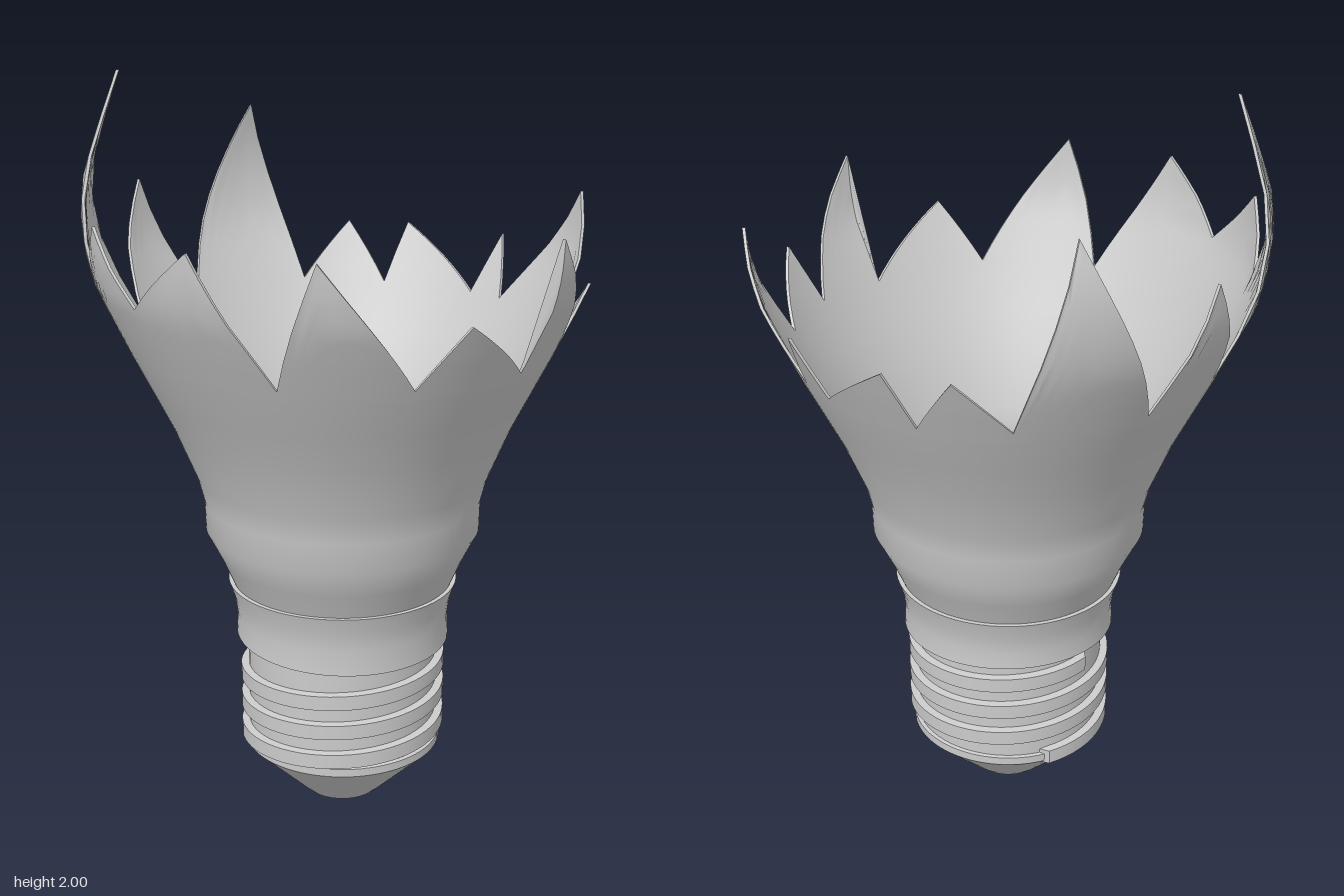
import * as THREE from 'three';
import { toCreasedNormals } from 'three/addons/utils/BufferGeometryUtils.js';

const material = new THREE.MeshStandardMaterial({ color: 0xcccccc, side: THREE.DoubleSide });

// Glass profile: [height, radius]
const PROFILE = [
  [0.65, 0.295], [0.72, 0.325], [0.8, 0.365], [0.88, 0.367], [0.95, 0.385], [1.1, 0.447],
  [1.2, 0.497], [1.3, 0.547], [1.4, 0.594], [1.49, 0.634], [1.57, 0.652], [1.66, 0.658],
  [1.75, 0.648], [1.83, 0.622], [2.0, 0.56],
];

// Broken rim: [degrees from the front towards +x, height]
const RIM = [
  [0, 1.49], [22.5, 1.32], [22.6, 1.34], [24, 1.66], [45, 1.33], [49.5, 1.49], [67, 1.33],
  [78, 1.66], [100.4, 1.33], [106.6, 1.49], [111.5, 1.33], [134.4, 1.49], [139.4, 1.33],
  [150, 1.49], [163, 1.34], [176.3, 1.83], [198, 1.33], [209.5, 1.66], [225.4, 1.33],
  [243, 2.0], [255.3, 1.49], [265.6, 1.66], [281, 1.49], [299, 1.66], [316, 1.33],
  [326.7, 1.66], [349.3, 1.33], [360, 1.49],
];

function glassRadius(y) {
  let i = 1;
  while (i < PROFILE.length - 1 && PROFILE[i][0] < y) i++;
  const [y0, r0] = PROFILE[i - 1];
  const [y1, r1] = PROFILE[i];
  return r0 + (r1 - r0) * (y - y0) / (y1 - y0);
}

function addMesh(group, name, geometry, crease = 0.6) {
  const mesh = new THREE.Mesh(toCreasedNormals(geometry, crease), material);
  mesh.name = name;
  group.add(mesh);
}

// Skin over columns of cross-section points, given as [angle, radius, height]
function skin(columns) {
  const rows = columns[0].length;
  const positions = [];
  const index = [];
  columns.forEach((column, i) => {
    column.forEach(([a, r, y], j) => {
      positions.push(r * Math.sin(a), y, r * Math.cos(a));
      if (i < columns.length - 1 && j < rows - 1) {
        const p = i * rows + j;
        const q = p + rows;
        index.push(p, q, q + 1, p, q + 1, p + 1);
      }
    });
  });
  const geometry = new THREE.BufferGeometry();
  geometry.setAttribute('position', new THREE.Float32BufferAttribute(positions, 3));
  geometry.setIndex(index);
  return geometry;
}

function lathe(points) {
  return new THREE.LatheGeometry(points.map(([r, y]) => new THREE.Vector2(r, y)), 64);
}

// Thin shell: up the outside to the jagged rim, then down the inside
function brokenGlass() {
  const thickness = 0.008;
  const columns = [];
  const addColumn = (degrees, top) => {
    const a = THREE.MathUtils.degToRad(degrees);
    const heights = PROFILE.map((p) => p[0]).filter((y) => y <= 1.3);
    for (let k = 1; k <= 10; k++) heights.push(1.3 + (top - 1.3) * k / 10);
    const outer = heights.map((y) => [a, glassRadius(y), y]);
    const inner = heights.map((y) => [a, glassRadius(y) - thickness, y]).reverse();
    columns.push([...outer, ...inner]);
  };
  for (let i = 0; i < RIM.length - 1; i++) {
    const [d0, h0] = RIM[i];
    const [d1, h1] = RIM[i + 1];
    const steps = Math.ceil((d1 - d0) / 3);
    for (let k = 0; k < steps; k++) addColumn(d0 + (d1 - d0) * k / steps, h0 + (h1 - h0) * k / steps);
  }
  addColumn(...RIM[RIM.length - 1]);
  return skin(columns);
}

// Spiral band of the screw, sinking into the core at both ends
function screwThread() {
  const columns = [];
  const start = -Math.PI;
  const end = Math.PI * 5.2;
  const steps = 200;
  for (let i = 0; i <= steps; i++) {
    const a = start + (end - start) * i / steps;
    const y = 0.235 + 0.085 * a / (2 * Math.PI);
    const r = i === 0 || i === steps ? 0.25 : 0.277;
    columns.push([[a, 0.25, y - 0.023], [a, r, y - 0.02], [a, r, y + 0.02], [a, 0.25, y + 0.023]]);
  }
  return skin(columns);
}

// Flared collar with a slightly slanted lower edge
function collar() {
  const columns = [];
  for (let i = 0; i <= 64; i++) {
    const a = i / 64 * Math.PI * 2;
    const slant = -0.012 * Math.cos(a);
    columns.push([
      [a, 0.25, 0.488 + slant], [a, 0.287, 0.493 + slant], [a, 0.284, 0.55],
      [a, 0.291, 0.6], [a, 0.307, 0.65], [a, 0, 0.65],
    ]);
  }
  return skin(columns);
}

export function createModel() {
  const group = new THREE.Group();
  group.name = 'brokenLightBulb';
  addMesh(group, 'brokenGlass', brokenGlass(), 0.9);
  addMesh(group, 'collar', collar());
  addMesh(group, 'screwCore', lathe([[0.256, 0.17], [0.256, 0.5]]));
  addMesh(group, 'screwThread', screwThread());
  addMesh(group, 'contactTip', lathe([
    [0, 0], [0.05, 0.002], [0.075, 0.008], [0.1, 0.02], [0.13, 0.047], [0.266, 0.178], [0.266, 0.2], [0.25, 0.203],
  ]));
  return group;
}
